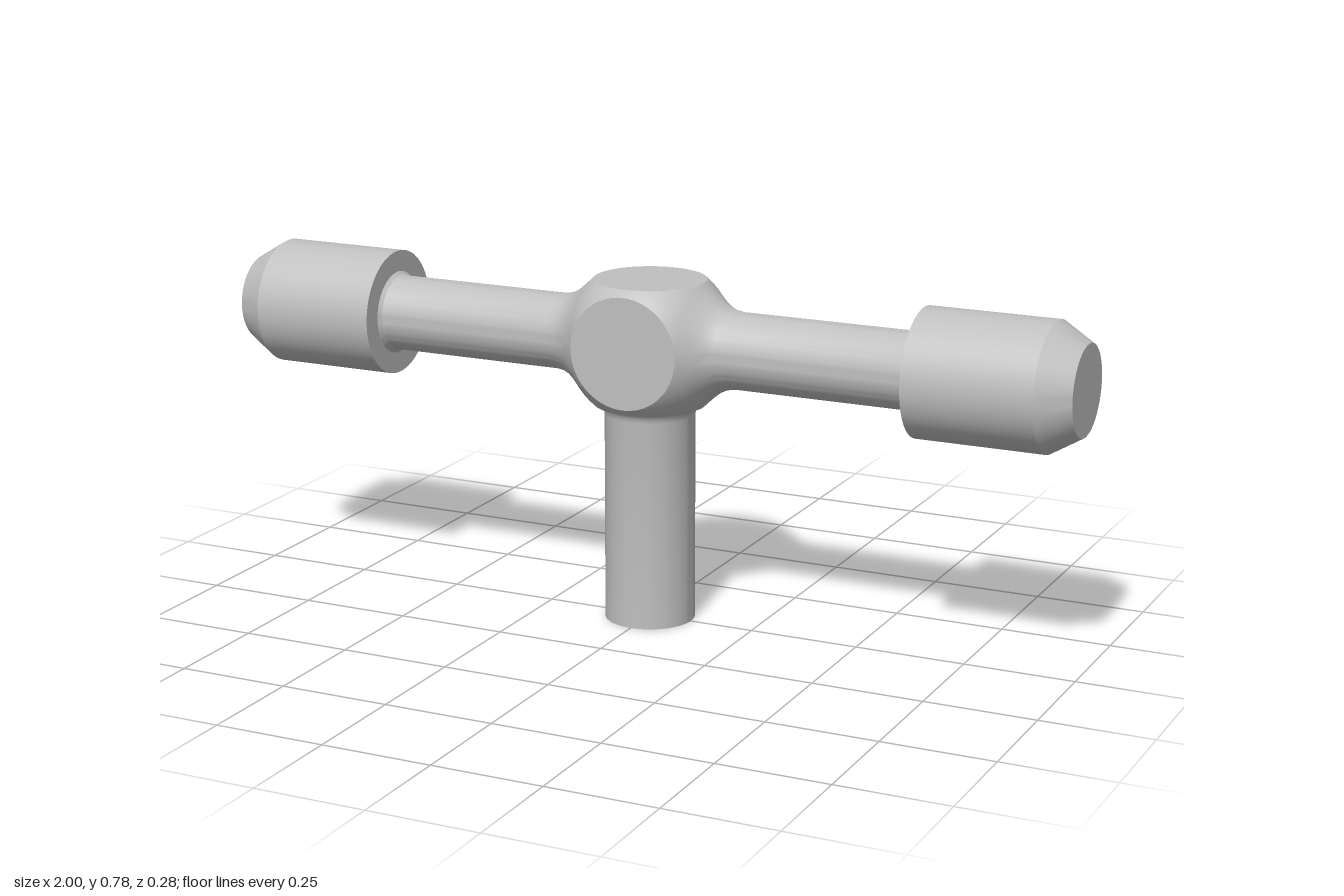
import * as THREE from 'three';
import { toCreasedNormals } from 'three/addons/utils/BufferGeometryUtils.js';

const CENTER_Y = 0.638; // height of the crossbar axis
const FLAT = 0.14;      // distance of the hub's flat faces from its centre
const SPHERE = 0.188;   // radius of the hub's rounded corners
const RIM = Math.sqrt(SPHERE * SPHERE - FLAT * FLAT);

// Turned part from [radius, height] pairs, listed bottom to top
function turned(points) {
  const profile = points.map(([r, y]) => new THREE.Vector2(r, y));
  return toCreasedNormals(new THREE.LatheGeometry(profile, 64), 0.5);
}

// One rounded corner of the hub: the piece of sphere between two flat faces
function hubCorner(nx = 24, na = 16) {
  const pos = [], nor = [], idx = [];
  for (let i = 0; i <= nx; i++) {
    const x = RIM * (2 * i / nx - 1);
    const r = Math.sqrt(SPHERE * SPHERE - x * x);
    const start = Math.acos(Math.min(1, FLAT / r));
    for (let j = 0; j <= na; j++) {
      const a = start + (Math.PI / 2 - 2 * start) * j / na;
      const p = [x, r * Math.cos(a), r * Math.sin(a)];
      pos.push(...p);
      nor.push(...p.map((v) => v / SPHERE));
      if (i < nx && j < na) {
        const k = i * (na + 1) + j, m = k + na + 1;
        idx.push(k, k + 1, m, k + 1, m + 1, m);
      }
    }
  }
  const g = new THREE.BufferGeometry();
  g.setAttribute('position', new THREE.Float32BufferAttribute(pos, 3));
  g.setAttribute('normal', new THREE.Float32BufferAttribute(nor, 3));
  g.setIndex(idx);
  return g;
}

export function createModel() {
  const grey = new THREE.MeshStandardMaterial({ color: 0xc0c0c0 });
  grey.name = 'plain grey';
  const model = new THREE.Group();
  model.name = 'crossbarHandle';
  const add = (parent, geometry, name) => {
    const mesh = new THREE.Mesh(geometry, grey);
    mesh.name = name;
    parent.add(mesh);
    return mesh;
  };

  // Stem with a small flare under the hub
  add(model, turned([
    [0, 0], [0.101, 0], [0.101, 0.475], [0.103, 0.485], [0.108, 0.493], [0.116, CENTER_Y - FLAT],
  ]), 'stem');

  // Hub: ball cut by four flat round faces
  const hub = new THREE.Group();
  hub.name = 'hub';
  hub.position.y = CENTER_Y;
  model.add(hub);
  const corner = hubCorner();
  const face = new THREE.CircleGeometry(RIM, 64).translate(0, 0, FLAT);
  for (let k = 0; k < 4; k++) {
    add(hub, corner, 'hubCorner').rotation.x = k * Math.PI / 2;
    add(hub, face, 'hubFace').rotation.x = k * Math.PI / 2;
  }

  // Arms flare out of the hub and end in chamfered grips
  const bar = turned([
    [FLAT, RIM], [0.126, 0.14], [0.111, 0.157], [0.098, 0.174], [0.089, 0.193], [0.085, 0.215],
    [0.085, 0.622], [0.087, 0.632], [0.094, 0.64],
  ]);
  const grip = turned([[0.09, 0.64], [0.142, 0.64], [0.142, 0.93], [0.1, 1], [0, 1]]);
  for (const side of [1, -1]) {
    const arm = new THREE.Group();
    arm.name = side > 0 ? 'leftArm' : 'rightArm';
    arm.position.y = CENTER_Y;
    arm.rotation.z = -side * Math.PI / 2;
    add(arm, bar, 'bar');
    add(arm, grip, 'grip');
    model.add(arm);
  }
  return model;
}
